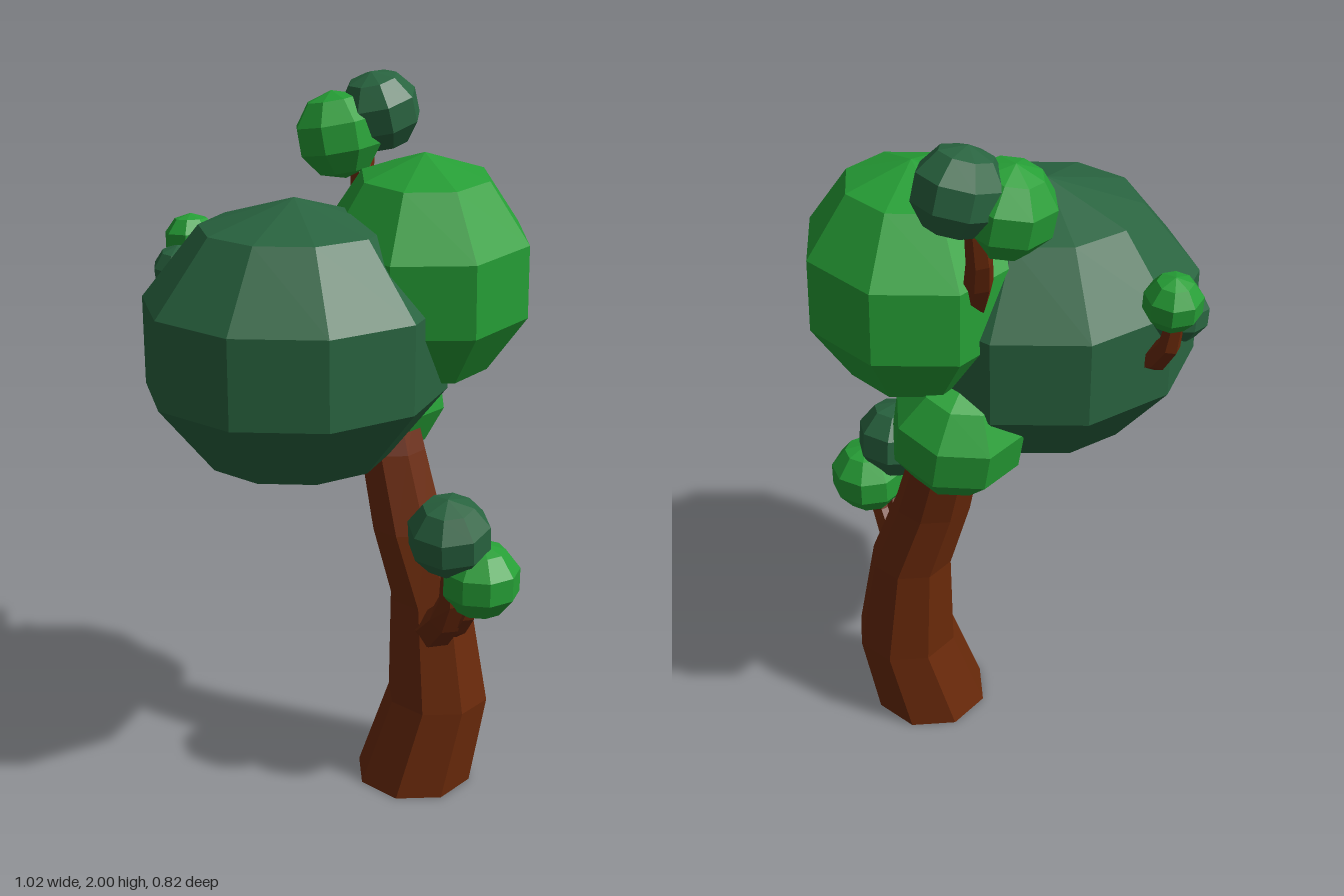
import * as THREE from 'three';

const mat = (name, color) => {
  const m = new THREE.MeshStandardMaterial({ color, flatShading: true });
  m.name = name;
  return m;
};

export function createModel() {
  const bark = mat('bark brown', 0x6b2a0a);
  const dark = mat('dark leaf green', 0x296440);
  const light = mat('light leaf green', 0x269f36);
  const tree = new THREE.Group();
  tree.name = 'tree';

  const add = (name, geo, material) => {
    const mesh = new THREE.Mesh(geo, material);
    mesh.name = name;
    tree.add(mesh);
    return mesh;
  };

  // Faceted leaf clump; turn spins it, tilt leans its pole, wide sets its x stretch
  const clump = (name, material, [x, y, z], r, sides = 8, turn = 0, tilt = [0, 0], wide = 1.04) => {
    const geo = new THREE.SphereGeometry(r, sides, 5);
    geo.rotateY(turn);
    geo.scale(wide, 1, 1.04);
    geo.rotateX(tilt[0]);
    geo.rotateZ(tilt[1]);
    add(name, geo, material).position.set(x, y, z);
  };

  // Tapered branch along a curve
  const branch = (name, points, r0, r1) => {
    const curve = new THREE.CatmullRomCurve3(points.map(p => new THREE.Vector3(...p)));
    const steps = 5, sides = 6;
    const geo = new THREE.TubeGeometry(curve, steps, 1, sides);
    const p = geo.attributes.position, v = new THREE.Vector3();
    for (let i = 0; i < p.count; i++) {
      const t = Math.floor(i / (sides + 1)) / steps;
      const c = curve.getPointAt(t);
      v.fromBufferAttribute(p, i).sub(c).multiplyScalar(r0 + (r1 - r0) * t).add(c);
      p.setXYZ(i, v.x, v.y, v.z);
    }
    add(name, geo, bark);
  };

  // Bent trunk: each ring is [y, centre x, centre z, radius]
  const rings = [
    [0, 0.22, 0.05, 0.17],
    [0.26, 0.285, 0.06, 0.148],
    [0.57, 0.265, 0.035, 0.118],
    [0.78, 0.205, 0, 0.108],
    [1.0, 0.17, -0.05, 0.097],
    [1.12, 0.16, -0.085, 0.085],
  ];
  const last = rings.length - 1;
  const trunk = new THREE.CylinderGeometry(1, 1, 1, 8, last);
  trunk.rotateY(0.2);
  const tp = trunk.attributes.position;
  for (let i = 0; i < tp.count; i++) {
    const [y, cx, cz, r] = rings[Math.round((tp.getY(i) + 0.5) * last)];
    tp.setXYZ(i, cx + tp.getX(i) * r, y, cz + tp.getZ(i) * r);
  }
  add('trunk', trunk, bark);

  // Main crown
  clump('largeDarkCrown', dark, [-0.12, 1.345, 0.025], 0.387, 10, Math.PI / 10, [0, 0], 1.1);
  clump('largeLightCrown', light, [0.237, 1.515, 0.01], 0.316, 8, 0.15, [0.04, 0.03], 0.93);
  clump('lowerCrown', light, [0.167, 1.125, -0.147], 0.178, 8, 0.2, [-0.15, 0.1]);

  // Low front branch with two prongs
  branch('frontBranch', [[0.25, 0.48, 0.06], [0.25, 0.515, 0.15], [0.265, 0.63, 0.235], [0.25, 0.82, 0.25]], 0.065, 0.025);
  branch('frontProng', [[0.275, 0.5, 0.08], [0.285, 0.53, 0.17], [0.305, 0.61, 0.235], [0.335, 0.72, 0.26]], 0.05, 0.025);
  clump('frontDarkClump', dark, [0.25, 0.84, 0.24], 0.114, 8, 0.3, [0.15, 0.1]);
  clump('frontLightClump', light, [0.335, 0.71, 0.26], 0.109, 9, 0.1);

  // High back branch
  branch('topBranch', [[0.15, 1.5, -0.18], [0.14, 1.62, -0.26], [0.15, 1.75, -0.31], [0.17, 1.88, -0.315]], 0.045, 0.025);
  clump('topLightClump', light, [0.073, 1.83, -0.28], 0.12, 8, 0.2, [-0.1, 0.15]);
  clump('topDarkClump', dark, [0.187, 1.89, -0.278], 0.112, 8, 0, [0.1, 0.25]);

  // Small back branch on the dark crown
  branch('backBranch', [[-0.27, 1.33, -0.19], [-0.305, 1.35, -0.29], [-0.33, 1.43, -0.345], [-0.335, 1.55, -0.35]], 0.045, 0.02);
  clump('backDarkClump', dark, [-0.373, 1.475, -0.285], 0.075, 8, 0.2, [0.1, 0.1]);
  clump('backLightClump', light, [-0.33, 1.545, -0.343], 0.075, 8, 0.4, [-0.1, 0]);

  return tree;
}
